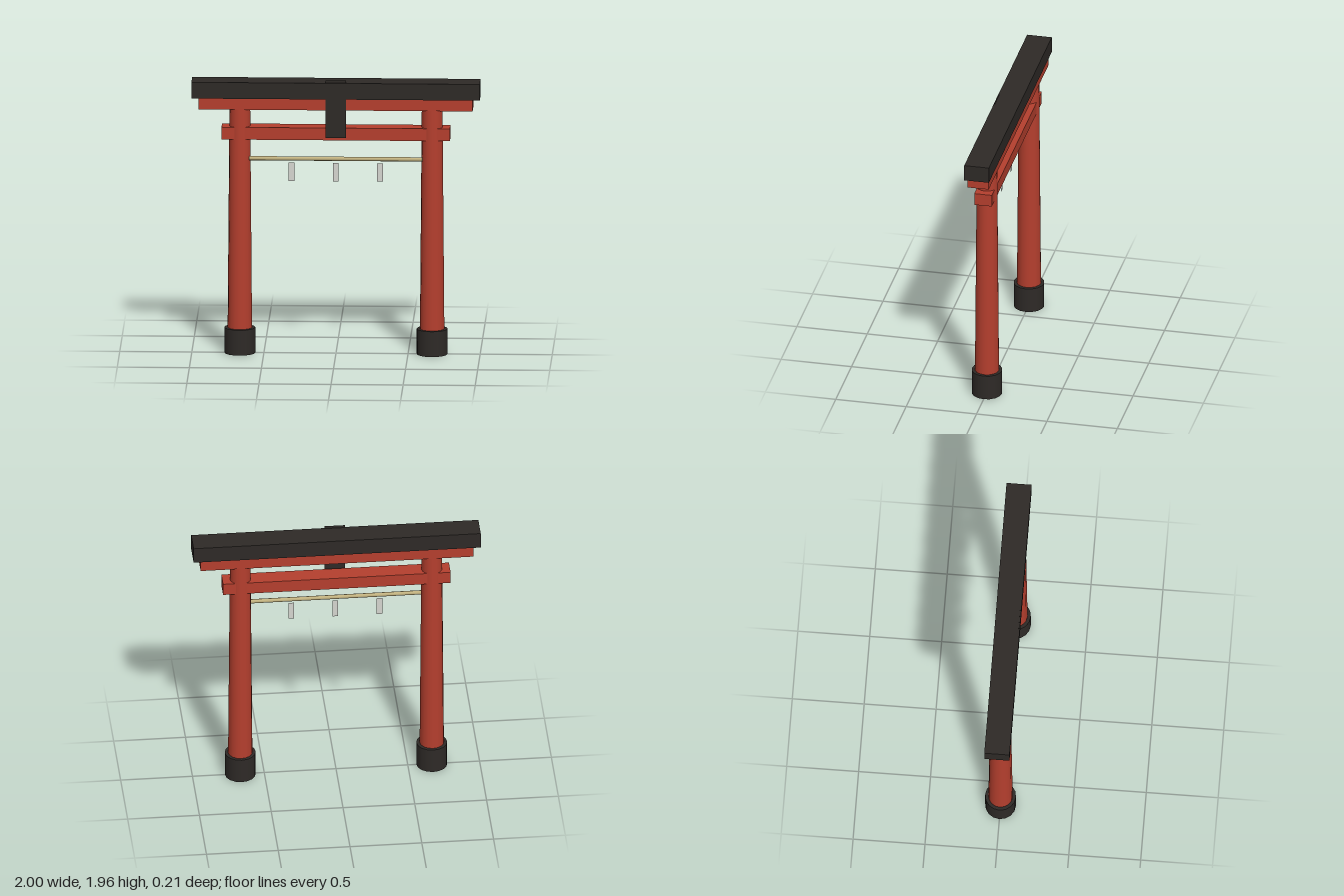
import * as THREE from 'three';

export function createModel() {
  const model = new THREE.Group();
  model.name = 'shrineGate';

  const paint = (color, side = THREE.FrontSide) => new THREE.MeshStandardMaterial({ color, side });
  const red = paint(0xb53f2e);
  const black = paint(0x2e2a27);
  const blackPanel = paint(0x2e2a27, THREE.DoubleSide);
  const straw = paint(0xc2b280);
  const paper = paint(0xd6d6d0, THREE.DoubleSide);

  function add(name, geometry, material, x, y, z) {
    const mesh = new THREE.Mesh(geometry, material);
    mesh.name = name;
    mesh.position.set(x, y, z);
    model.add(mesh);
    return mesh;
  }

  // Horizontal beam given by its length, bottom, top and depth
  const beam = (name, length, bottom, top, depth, material) =>
    add(name, new THREE.BoxGeometry(length, top - bottom, depth), material, 0, (bottom + top) / 2, 0);

  // Tapered pillars standing in dark sleeves
  for (const [side, x] of [['left', 0.667], ['right', -0.667]]) {
    add(side + 'Base', new THREE.CylinderGeometry(0.107, 0.107, 0.18, 16), black, x, 0.09, 0);
    add(side + 'Pillar', new THREE.CylinderGeometry(0.072, 0.086, 1.74, 16), red, x, 0.87, 0);
  }

  // Tie beam through the pillars, lintel and top cap
  beam('tieBeam', 1.585, 1.525, 1.612, 0.125, red);
  beam('lintel', 1.9, 1.74, 1.82, 0.15, red);
  beam('topCap', 2, 1.82, 1.935, 0.175, black);

  // Thin plaque at the centre front
  add('plaque', new THREE.PlaneGeometry(0.143, 0.41), blackPanel, 0, 1.75, 0.08);

  // Rope between the pillars with hanging paper strips
  const rope = add('rope', new THREE.CylinderGeometry(0.015, 0.015, 1.2, 8), straw, 0, 1.39, 0.045);
  rope.rotation.z = Math.PI / 2;
  for (const x of [-0.307, 0, 0.307]) {
    add('paperStrip', new THREE.PlaneGeometry(0.04, 0.13), paper, x, 1.295, 0.045);
  }

  return model;
}
